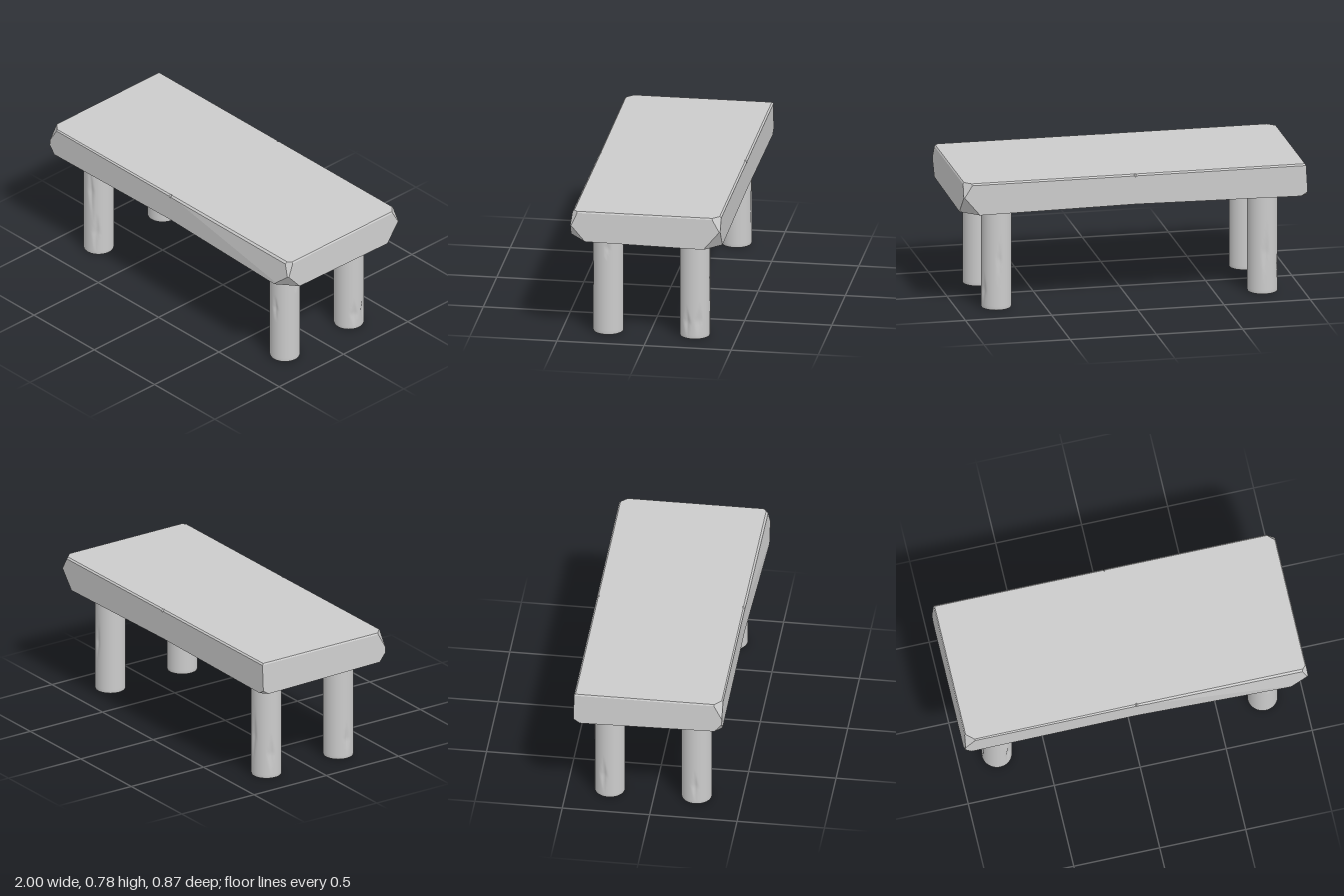
import * as THREE from 'three';
import { ConvexGeometry } from 'three/addons/geometries/ConvexGeometry.js';

const stone = new THREE.MeshStandardMaterial({ color: 0xcccccc, side: THREE.DoubleSide });
const v = (x, y, z) => new THREE.Vector3(x, y, z);

// Convex solid bounded by planes, each given by three points; inner lies inside
function solidFromPlanes(triples, inner) {
  const planes = triples.map((t) => {
    const p = new THREE.Plane().setFromCoplanarPoints(...t);
    return p.distanceToPoint(inner) > 0 ? p.negate() : p;
  });
  const points = [];
  const n = planes.length;
  for (let i = 0; i < n; i++) for (let j = i + 1; j < n; j++) for (let k = j + 1; k < n; k++) {
    const [a, b, c] = [planes[i], planes[j], planes[k]];
    const bc = b.normal.clone().cross(c.normal);
    const det = a.normal.dot(bc);
    if (Math.abs(det) < 1e-6) continue;
    const p = bc.multiplyScalar(-a.constant)
      .addScaledVector(c.normal.clone().cross(a.normal), -b.constant)
      .addScaledVector(a.normal.clone().cross(b.normal), -c.constant)
      .divideScalar(det);
    if (planes.every((q) => q.distanceToPoint(p) < 1e-6) &&
        points.every((q) => q.distanceTo(p) > 1e-4)) points.push(p);
  }
  return new ConvexGeometry(points);
}

// Plane that breaks off a corner; a, b, c are signed cut lengths along x, y, z
const chip = (x, y, z, a, b, c) => [v(x + a, y, z), v(x, y + b, z), v(x, y, z + c)];

// One half of the slab, s = 1 for +x and -1 for -x
function slabHalf(s) {
  const top = 0.783, back = -0.435, front = 0.412, e = 0.009;
  const planes = [
    [v(0, top, 0), v(1, top, 0), v(0, top, 1)],
    [v(0, 0, 0), v(0, 1, 0), v(0, 0, 1)],
    [v(0, 0.614, 0), v(s, 0.609, 0.43), v(s, 0.595, -0.43)],
    [v(s, 0.61, 0), v(s * 0.99, top, 0), v(s, 0.61, 0.4)],
    [v(0, 0.61, back), v(s, 0.61, back), v(0, top, back)],
    // worn top edges
    [v(0, top - e, back), v(s, top - e, back), v(0, top, back + e)],
    [v(0, top - e, front), v(s, top - e, front + 0.002), v(0, top, front - e)],
    [v(s * 0.991, top - e, 0), v(s * 0.991, top - e, 0.4), v(s * 0.985, top, 0)],
    // nicks in the middle of the long edges
    chip(0, top, front, s * 0.016, -0.018, -0.016),
    chip(0, top, back, s * 0.016, -0.018, 0.016),
  ];
  if (s > 0) planes.push(
    // front face flares out towards the lower corner
    [v(0, 0.61, front), v(1, 0.61, 0.437), v(0, top, front)],
    [v(1, 0.61, 0.437), v(1, top, 0.415), v(0, top, front)],
    chip(1, 0.61, 0.437, -0.115, 0.115, -0.095),
    chip(1, 0.595, back, -0.1, 0.12, 0.095),
    chip(0.99, top, front, -0.03, -0.06, -0.03),
    chip(0.99, top, back, -0.05, -0.08, 0.05),
  );
  else planes.push(
    [v(0, 0.61, front), v(-1, 0.61, front), v(0, top, front)],
    chip(-1, 0.61, front, 0.04, 0.05, -0.04),
    chip(-1, 0.595, back, 0.04, 0.025, 0.035),
    chip(-0.99, top, front, 0.055, -0.085, -0.05),
  );
  return solidFromPlanes(planes, v(s * 0.5, 0.7, 0));
}

// Round leg; each gouge is [angle from front, centre height, half height, half angle, lean]
function legGeometry(gouges) {
  const r = 0.0865, h = 0.63, rows = 40;
  const profile = [[0.0001, 0], [r - 0.006, 0], [r - 0.002, 0.002], [r, 0.008]];
  for (let i = 1; i <= rows; i++) profile.push([r, 0.008 + (h - 0.008) * i / rows]);
  const geo = new THREE.LatheGeometry(profile.map((p) => new THREE.Vector2(...p)), 64);
  const pos = geo.attributes.position;
  for (let i = 0; i < pos.count; i++) {
    const x = pos.getX(i), y = pos.getY(i), z = pos.getZ(i);
    if (y < 0.01) continue;
    let depth = 0;
    for (const [angle, cy, hh, ha, lean] of gouges) {
      const t = (y - cy) / hh;
      const off = Math.atan2(x, z) - angle - lean * t;
      const da = Math.atan2(Math.sin(off), Math.cos(off));
      depth = Math.max(depth, 0.01 * (1 - Math.abs(t) - Math.abs(da) / ha));
    }
    const k = 1 - depth / r;
    pos.setXYZ(i, x * k, y, z * k);
  }
  geo.computeVertexNormals();
  // close the shading seam where the lathe meets itself
  const nor = geo.attributes.normal, m = profile.length;
  for (let i = 0; i < m; i++) {
    const last = pos.count - m + i;
    const a = v(0, 0, 0).fromBufferAttribute(nor, i).add(v(0, 0, 0).fromBufferAttribute(nor, last)).normalize();
    nor.setXYZ(i, a.x, a.y, a.z);
    nor.setXYZ(last, a.x, a.y, a.z);
  }
  return geo;
}

export function createModel() {
  const group = new THREE.Group();
  const add = (name, geo, x = 0, z = 0) => {
    const mesh = new THREE.Mesh(geo, stone);
    mesh.name = name;
    mesh.position.set(x, 0, z);
    group.add(mesh);
  };

  // Thick chipped slab, its underside arching slightly at the middle
  add('slabLeftHalf', slabHalf(1));
  add('slabRightHalf', slabHalf(-1));

  // Four round legs with shallow gouges
  const side = Math.PI / 2;
  add('frontLeftLeg', legGeometry([[side + 0.1, 0.52, 0.07, 0.2, 0.15], [0.15, 0.35, 0.1, 0.2, 0]]), 0.77, 0.24);
  add('backLeftLeg', legGeometry([[side - 0.4, 0.1, 0.09, 0.3, 0], [side + 0.4, 0.11, 0.1, 0.3, 0.1],
    [Math.PI, 0.3, 0.15, 0.2, 0.1]]), 0.77, -0.257);
  add('frontRightLeg', legGeometry([[0.3, 0.42, 0.19, 0.25, -0.1], [0.65, 0.15, 0.14, 0.3, 0.1],
    [-side, 0.12, 0.1, 0.25, 0]]), -0.775, 0.24);
  add('backRightLeg', legGeometry([[Math.PI, 0.25, 0.18, 0.3, 0.1], [-side - 0.3, 0.15, 0.12, 0.3, 0]]), -0.775, -0.257);
  return group;
}
